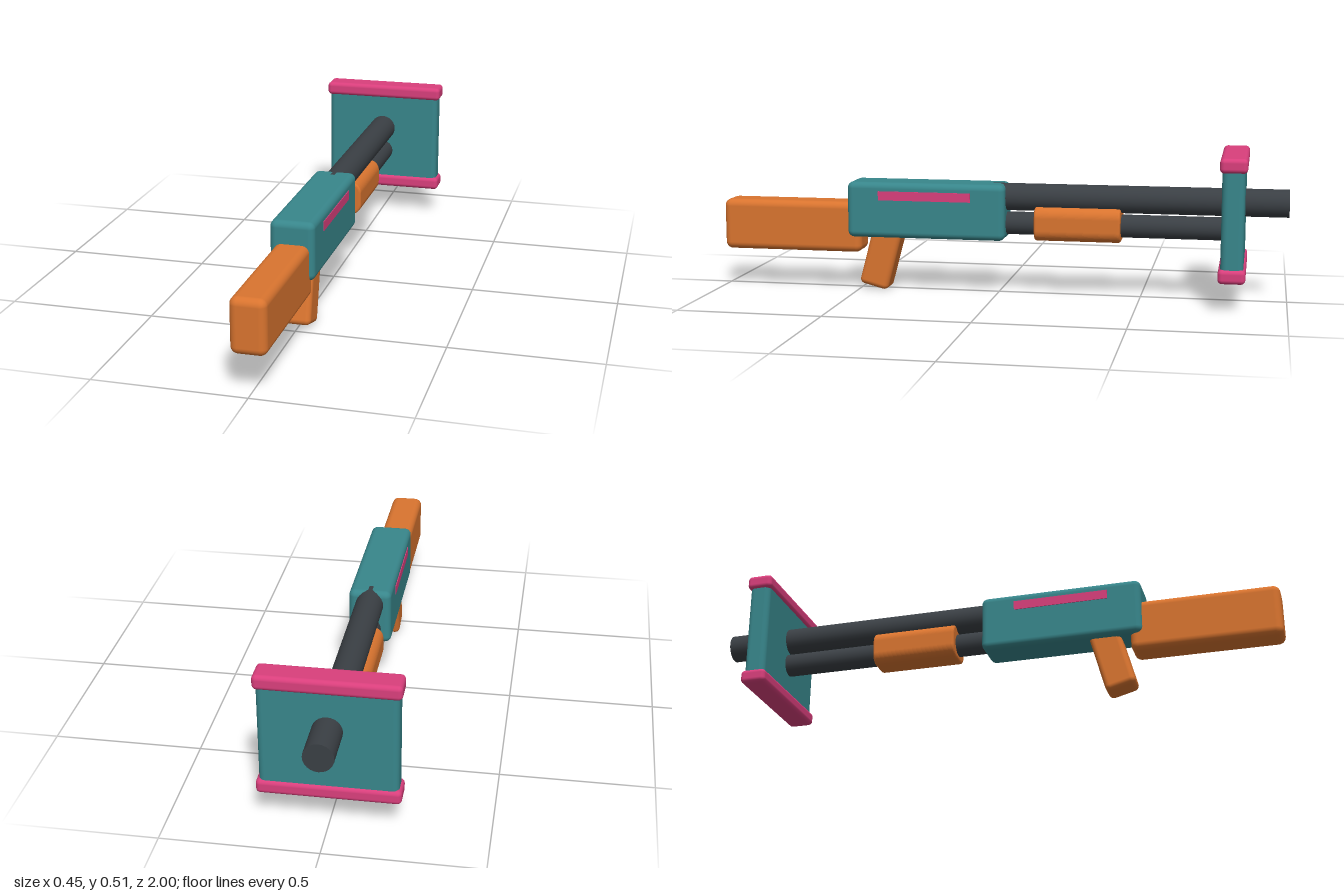
import * as THREE from 'three';
import { RoundedBoxGeometry } from 'three/addons/geometries/RoundedBoxGeometry.js';

const material = (name, color) => {
  const m = new THREE.MeshStandardMaterial({ color });
  m.name = name;
  return m;
};

export function createModel() {
  const group = new THREE.Group();
  const teal = material('teal', 0x38868b);
  const pink = material('pink', 0xd93f7c);
  const orange = material('orange', 0xd9742f);
  const dark = material('charcoal', 0x3a3f44);

  function add(name, geometry, mat, x, y, z) {
    const mesh = new THREE.Mesh(geometry, mat);
    mesh.name = name;
    mesh.position.set(x, y, z);
    group.add(mesh);
    return mesh;
  }
  // Rounded block given by its width, its y range and its z range
  const block = (name, mat, w, y0, y1, z0, z1, r) =>
    add(name, new RoundedBoxGeometry(w, y1 - y0, z1 - z0, 4, r), mat, 0, (y0 + y1) / 2, (z0 + z1) / 2);
  // Round bar running along z
  const bar = (name, r, y, z0, z1) =>
    add(name, new THREE.CylinderGeometry(r, r, z1 - z0, 24).rotateX(Math.PI / 2), dark, 0, y, (z0 + z1) / 2);

  // Body and stock
  block('receiver', teal, 0.148, 0.193, 0.39, -0.03, 0.535, 0.022);
  block('stock', orange, 0.116, 0.134, 0.315, 0.49, 1.0, 0.025);

  // Raked grip
  const grip = add('grip', new RoundedBoxGeometry(0.098, 0.23, 0.106, 4, 0.018), orange, 0, 0.123, 0.421);
  grip.rotation.x = -0.26;

  // Accent strips on both sides of the body
  for (const side of [-1, 1]) {
    add(side > 0 ? 'leftStripe' : 'rightStripe', new THREE.BoxGeometry(0.006, 0.032, 0.33), pink, side * 0.0735, 0.344, 0.255);
  }

  // Long upper bar and shorter lower bar
  bar('upperBar', 0.048, 0.343, -1.0, 0.02);
  bar('lowerBar', 0.04, 0.25, -0.81, 0.02);

  // Sliding handle: rounded section with slightly eased ends
  const w = 0.057, h = 0.052, r = 0.03;
  const section = new THREE.Shape();
  section.absarc(w - r, h - r, r, 0, Math.PI / 2);
  section.absarc(r - w, h - r, r, Math.PI / 2, Math.PI);
  section.absarc(r - w, r - h, r, Math.PI, Math.PI * 1.5);
  section.absarc(w - r, r - h, r, Math.PI * 1.5, Math.PI * 2);
  section.closePath();
  const handle = new THREE.ExtrudeGeometry(section, {
    depth: 0.284, bevelSize: 0.008, bevelThickness: 0.008, bevelSegments: 3, curveSegments: 8,
  });
  add('slideHandle', handle, orange, 0, 0.255, -0.424);

  // Square end plate with top and bottom rails
  block('endPlate', teal, 0.434, 0.115, 0.5, -0.853, -0.778, 0.02);
  block('topRail', pink, 0.452, 0.467, 0.516, -0.861, -0.77, 0.015);
  block('bottomRail', pink, 0.452, 0.1, 0.148, -0.861, -0.77, 0.015);

  return group;
}
